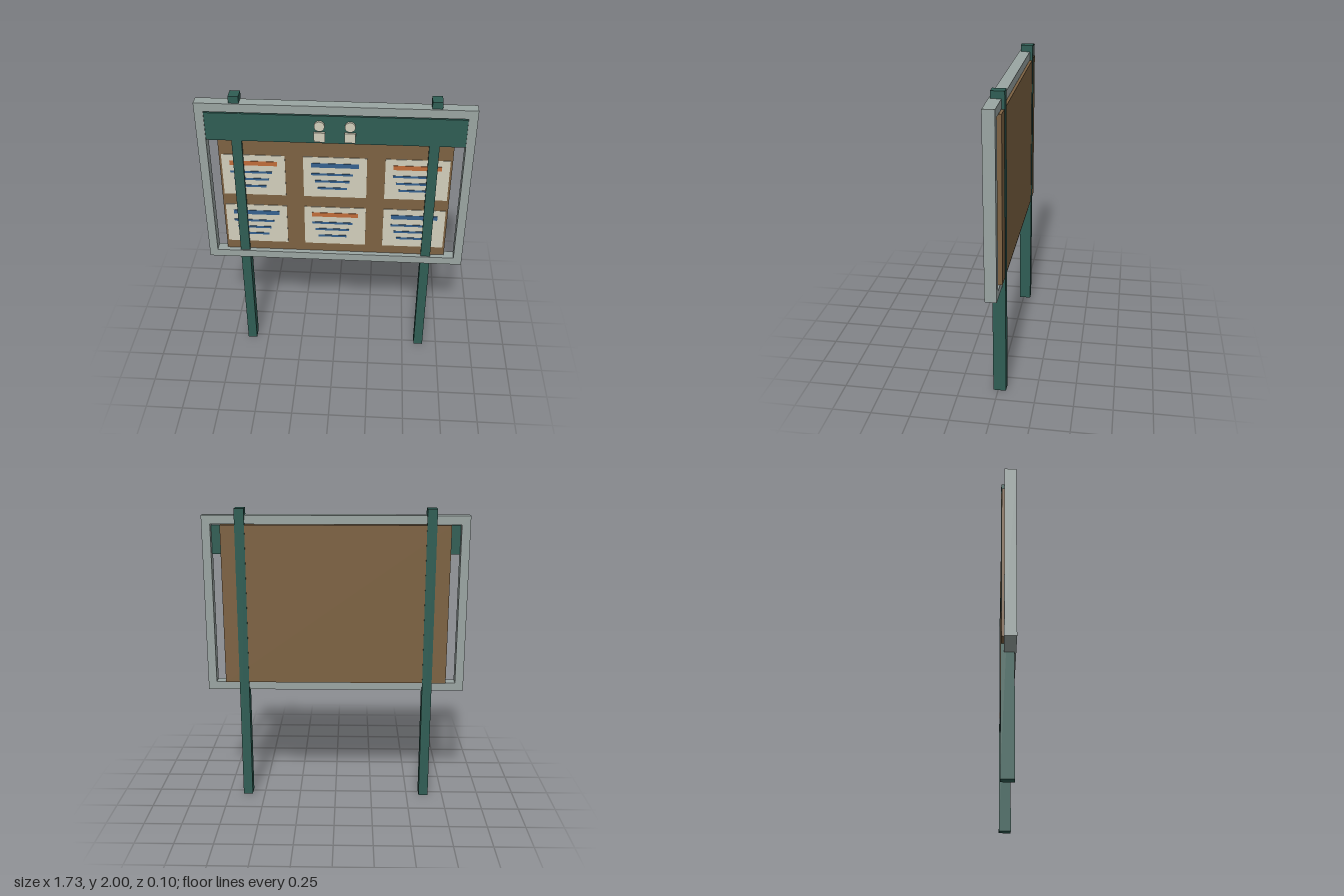
import * as THREE from 'three';

const mat = (name, color) => {
  const m = new THREE.MeshStandardMaterial({ color });
  m.name = name;
  return m;
};

export function createModel() {
  const green = mat('dark green', 0x2f5d54);
  const grey = mat('metal grey', 0x9aa5a2);
  const brown = mat('cork brown', 0x7d6242);
  const cream = mat('paper cream', 0xd2cebb);
  const blue = mat('ink blue', 0x35618f);
  const orange = mat('ink orange', 0xc06c3a);

  const model = new THREE.Group();
  model.name = 'noticeBoard';

  const add = (parent, name, geometry, material, x, y, z) => {
    const mesh = new THREE.Mesh(geometry, material);
    mesh.name = name;
    mesh.position.set(x, y, z);
    parent.add(mesh);
    return mesh;
  };
  // Box given by its centre in x and y and by its back and front in z
  const box = (parent, name, material, x, y, w, h, back, front) =>
    add(parent, name, new THREE.BoxGeometry(w, h, front - back), material, x, y, (back + front) / 2);

  // Posts
  for (const s of [-1, 1]) {
    box(model, s > 0 ? 'leftPost' : 'rightPost', green, s * 0.618, 1, 0.064, 2, -0.052, 0.031);
  }

  // Picture-frame surround: rectangle with a rectangular hole
  const rect = (Type, x, y0, y1) => new Type([
    new THREE.Vector2(-x, y0), new THREE.Vector2(x, y0),
    new THREE.Vector2(x, y1), new THREE.Vector2(-x, y1),
  ]);
  const outline = rect(THREE.Shape, 0.865, 0.777, 1.955);
  outline.holes.push(rect(THREE.Path, 0.809, 0.831, 1.898));
  const surround = new THREE.ExtrudeGeometry(outline, { depth: 0.074, bevelEnabled: false });
  add(model, 'frame', surround, grey, 0, 0, -0.033);

  // Pin board and header panel
  box(model, 'pinBoard', brown, 0, 1.364, 1.488, 1.062, -0.049, 0.01);
  box(model, 'header', green, 0, 1.793, 1.618, 0.19, 0.012, 0.036);

  // Two simple figures on the header
  for (const s of [-1, 1]) {
    const figure = new THREE.Group();
    figure.name = s > 0 ? 'leftFigure' : 'rightFigure';
    const head = new THREE.CylinderGeometry(0.033, 0.033, 0.016, 16).rotateX(Math.PI / 2);
    add(figure, 'head', head, cream, s * 0.095, 1.822, 0.044);
    box(figure, 'body', cream, s * 0.095, 1.746, 0.069, 0.064, 0.036, 0.052);
    model.add(figure);
  }

  // Notices: a sheet with a title bar and three lines
  [1.432, 1.048].forEach((y, row) => {
    [-0.525, 0, 0.525].forEach((x, col) => {
      const notice = new THREE.Group();
      notice.name = 'notice';
      box(notice, 'sheet', cream, x, y, 0.408, 0.3, 0.01, 0.014);
      box(notice, 'titleBar', (row + col) % 2 ? blue : orange, x, y + 0.09, 0.307, 0.032, 0.014, 0.017);
      [0.27, 0.226, 0.19].forEach((w, i) => {
        box(notice, 'line', blue, x - 0.018, y + 0.023 - i * 0.053, w, 0.015, 0.014, 0.017);
      });
      model.add(notice);
    });
  });

  return model;
}
